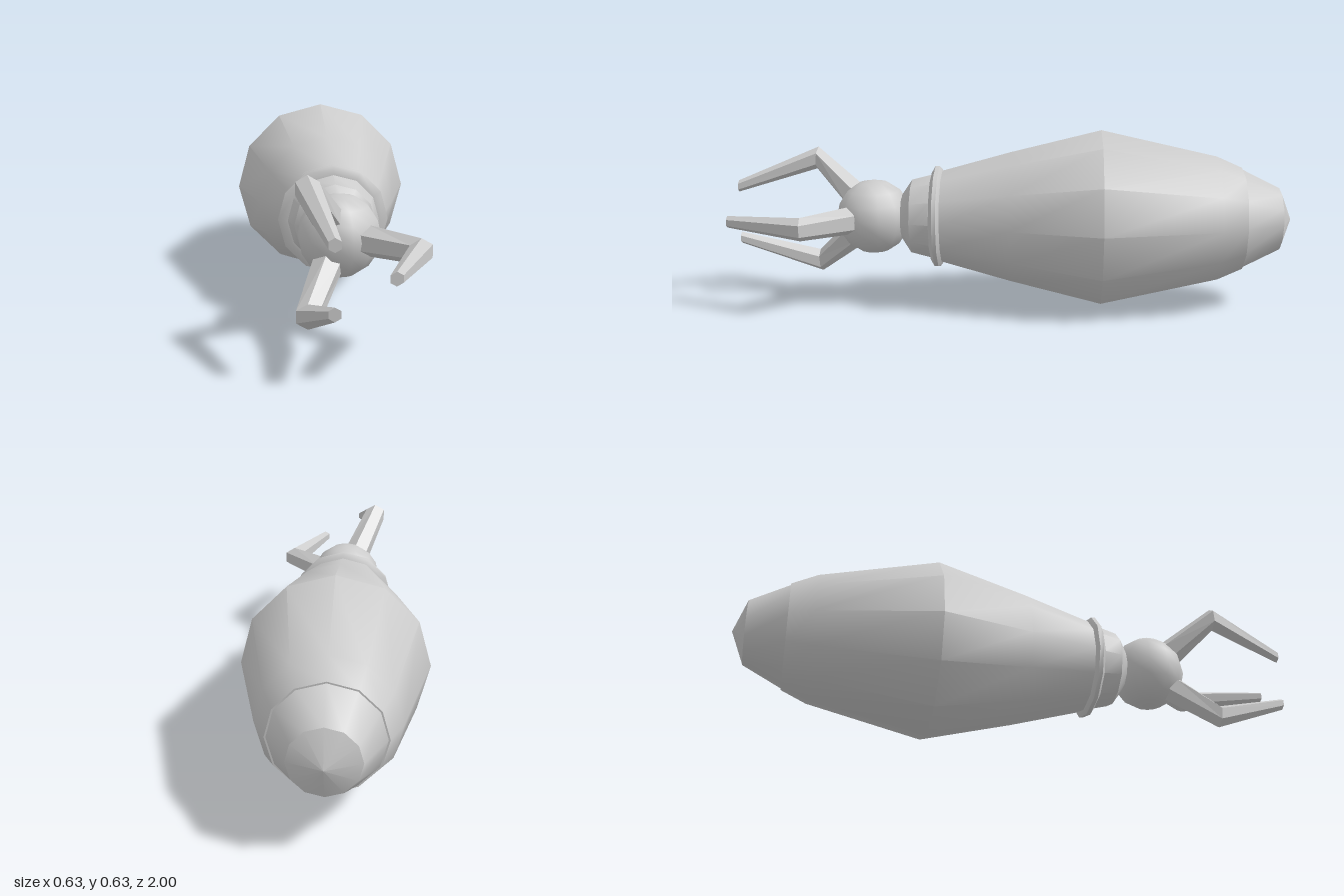
import * as THREE from 'three';
import { toCreasedNormals } from 'three/addons/utils/BufferGeometryUtils.js';

const material = new THREE.MeshStandardMaterial({ color: 0xcccccc });
const AXIS_Y = 0.317;

// Twelve-sided turned part along z; profile is [radius, z] from back to front
function turned(name, profile) {
  const points = profile.map(([r, z]) => new THREE.Vector2(r, z));
  const geometry = new THREE.LatheGeometry(points, 12).rotateX(Math.PI / 2);
  const mesh = new THREE.Mesh(toCreasedNormals(geometry, 0.55), material);
  mesh.name = name;
  return mesh;
}

// Bent hexagonal finger lying in the xz plane, lofted through three sections
function fingerGeometry() {
  const sections = [
    { x: 0.085, z: 0.575, radius: 0.05, tilt: 0.7 },
    { x: 0.225, z: 0.717, radius: 0.041, tilt: 0.1 },
    { x: 0.112, z: 1.0, radius: 0.021, tilt: 0 },
  ];
  const positions = [];
  const index = [];
  for (const { x, z, radius, tilt } of sections) {
    for (let i = 0; i < 6; i++) {
      const angle = Math.PI / 6 + (i * Math.PI) / 3;
      const across = radius * Math.cos(angle);
      positions.push(x + across * Math.cos(tilt), radius * Math.sin(angle), z - across * Math.sin(tilt));
    }
  }
  for (let s = 0; s < 2; s++) {
    for (let i = 0; i < 6; i++) {
      const a = s * 6 + i;
      const b = s * 6 + ((i + 1) % 6);
      index.push(a, b, b + 6, a, b + 6, a + 6);
    }
  }
  // End caps
  for (let i = 1; i < 5; i++) {
    index.push(0, i + 1, i);
    index.push(12, 12 + i, 13 + i);
  }
  const indexed = new THREE.BufferGeometry();
  indexed.setAttribute('position', new THREE.Float32BufferAttribute(positions, 3));
  indexed.setIndex(index);
  const geometry = indexed.toNonIndexed();
  geometry.computeVertexNormals();
  return geometry;
}

export function createModel() {
  const model = new THREE.Group();
  model.name = 'clawArm';
  const arm = new THREE.Group();
  arm.name = 'arm';
  arm.position.y = AXIS_Y;
  model.add(arm);

  // Barrel-shaped body and its rear cap
  arm.add(turned('body', [
    [0, -0.82], [0.185, -0.82], [0.225, -0.73], [0.317, -0.32], [0.237, 0], [0.167, 0.25], [0, 0.25],
  ]));
  arm.add(turned('rearCap', [[0, -1], [0.112, -0.955], [0.182, -0.815], [0, -0.815]]));

  // Wrist ring and tapered collar
  arm.add(turned('wristRing', [
    [0.155, 0.24], [0.172, 0.247], [0.185, 0.256], [0.185, 0.27], [0.16, 0.284], [0.14, 0.284],
  ]));
  arm.add(turned('collar', [[0.155, 0.25], [0.153, 0.285], [0.135, 0.355], [0.08, 0.392], [0, 0.392]]));

  // Ball joint
  const ball = new THREE.Mesh(new THREE.SphereGeometry(0.134, 12, 8), material);
  ball.name = 'ballJoint';
  ball.position.z = 0.495;
  ball.rotation.y = Math.PI / 12;
  arm.add(ball);

  // Three fingers spaced evenly about the arm's axis
  const finger = fingerGeometry();
  const flatMaterial = material.clone();
  flatMaterial.flatShading = true;
  for (let i = 0; i < 3; i++) {
    const mesh = new THREE.Mesh(finger, flatMaterial);
    mesh.name = `finger${i + 1}`;
    mesh.rotation.z = (i * Math.PI * 2) / 3;
    arm.add(mesh);
  }
  return model;
}
